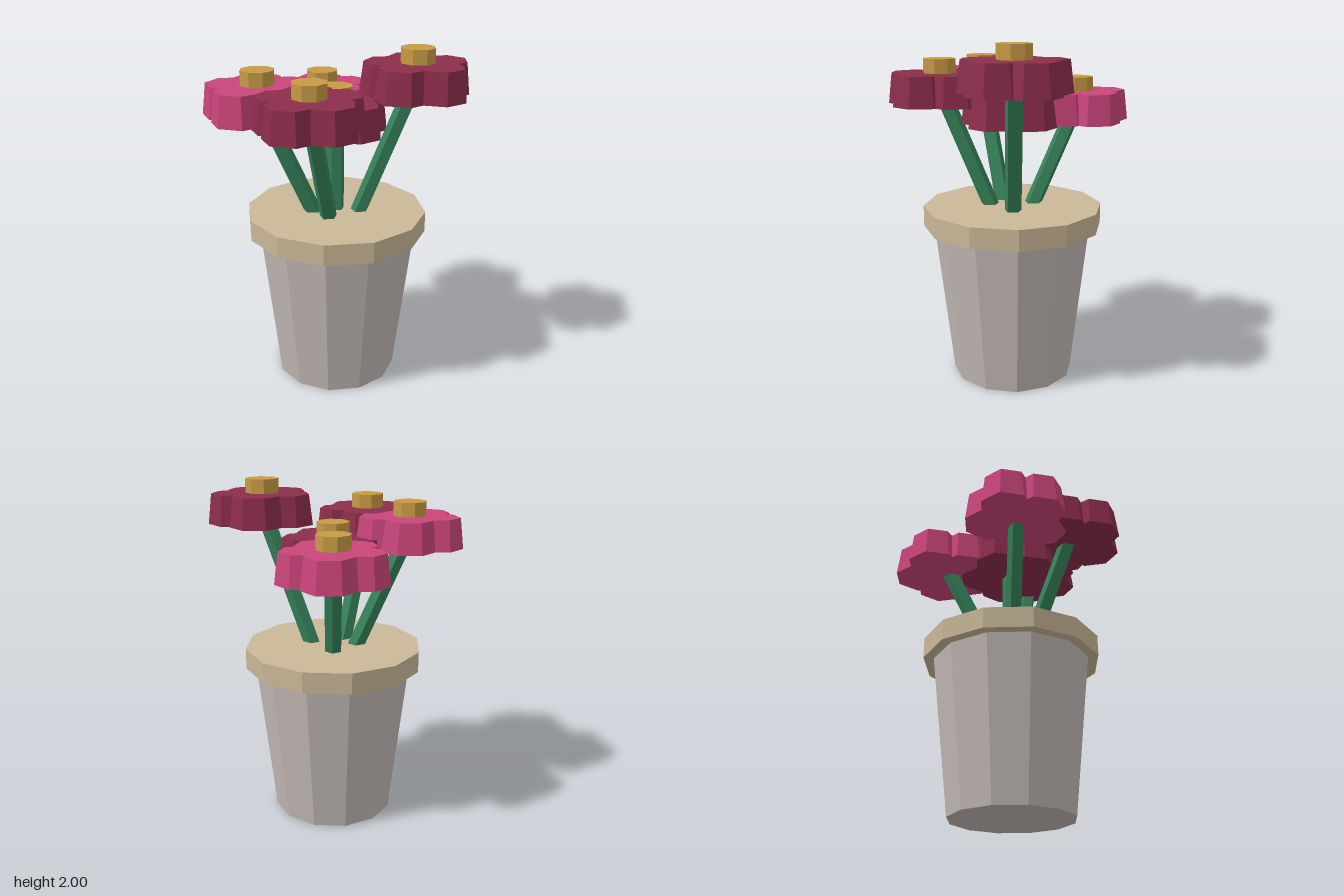
import * as THREE from 'three';

const mat = (name, color) => {
  const m = new THREE.MeshStandardMaterial({ color, flatShading: true });
  m.name = name;
  return m;
};

export function createModel() {
  const model = new THREE.Group();
  model.name = 'pottedFlowers';
  const clay = mat('greyClay', 0xc2b9b5);
  const tan = mat('tanRim', 0xcab898);
  const green = mat('stemGreen', 0x358259);
  const wine = mat('winePetal', 0x8c2d4c);
  const pink = mat('pinkPetal', 0xc9457a);
  const gold = mat('goldCentre', 0xc89b45);

  // Faceted cylinder standing on y, with its first corner towards +x
  const prism = (name, rTop, rBottom, height, sides, material) => {
    const geometry = new THREE.CylinderGeometry(rTop, rBottom, height, sides).rotateY(Math.PI / 2);
    // Rotation above sends the +z corner to +x
    const mesh = new THREE.Mesh(geometry, material);
    mesh.name = name;
    return mesh;
  };
  const CX = 0.004, CZ = 0.04;

  // Pot body and closed rim
  const pot = prism('pot', 0.467, 0.362, 0.94, 12, clay);
  pot.position.set(CX, 0.47, CZ);
  const rim = prism('rim', 0.525, 0.525, 0.122, 12, tan);
  rim.position.set(CX, 0.981, CZ);
  model.add(pot, rim);

  // Flowers: x, z, underside height of the head, petal material
  const flowers = [
    [0.378, 0.278, 1.745, wine],
    [-0.43, -0.025, 1.632, pink],
    [-0.275, 0.355, 1.633, wine],
    [0.081, -0.362, 1.521, pink],
    [0.004, 0.037, 1.52, wine],
  ];
  const H = 0.174;
  for (const [x, z, y, petalMaterial] of flowers) {
    const flower = new THREE.Group();
    flower.name = 'flower';

    // Five overlapping seven-sided petals around the centre
    const head = new THREE.Group();
    head.name = 'flowerHead';
    head.position.set(x, y, z);
    for (let i = 0; i < 5; i++) {
      const a = (i * Math.PI * 2) / 5;
      const petal = prism('petal', 0.135, 0.157, H, 7, petalMaterial);
      petal.position.set(Math.cos(a) * 0.16, H / 2, Math.sin(a) * 0.16);
      head.add(petal);
    }
    const centre = prism('flowerCentre', 0.097, 0.097, 0.16, 8, gold);
    centre.position.y = H + 0.001;
    head.add(centre);

    // Stem leaning outwards from the pot into the head
    const from = new THREE.Vector3(CX + (x - CX) * 0.28, 1.0, CZ + (z - CZ) * 0.28);
    const to = new THREE.Vector3(x, y + H / 2, z);
    const dir = to.clone().sub(from);
    const stem = prism('stem', 0.05, 0.05, dir.length(), 5, green);
    stem.position.copy(from).add(to).multiplyScalar(0.5);
    stem.quaternion.setFromUnitVectors(new THREE.Vector3(0, 1, 0), dir.normalize());

    flower.add(stem, head);
    model.add(flower);
  }
  return model;
}
